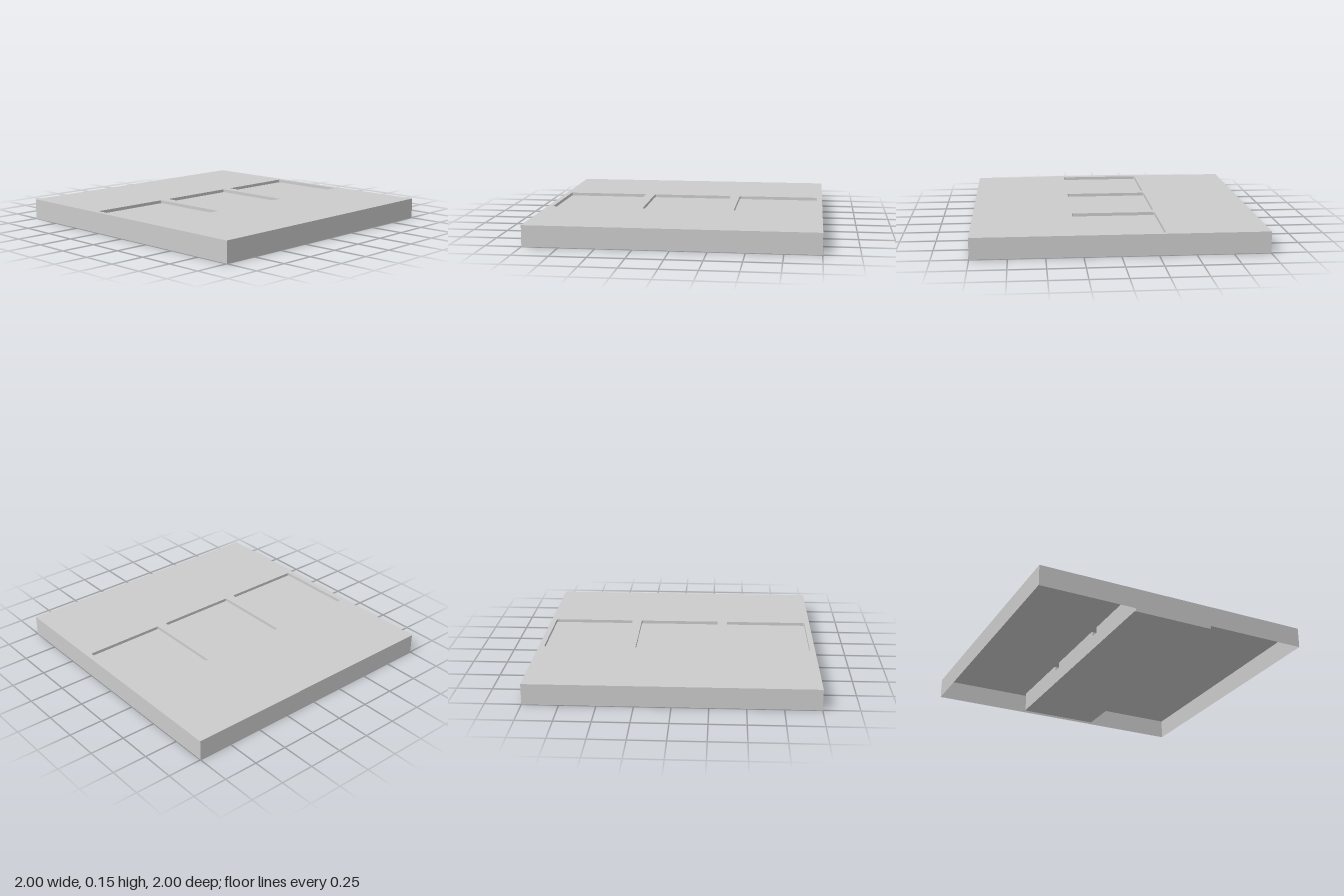
import * as THREE from 'three';

const HEIGHT = 0.147, RECESS = 0.125, BASE_TOP = 0.105;
const HALF = 0.297, RADIUS = 0.01;
const POCKETS = [-0.665, 0, 0.665];

const material = new THREE.MeshStandardMaterial({ color: 0xcccccc, side: THREE.DoubleSide, flatShading: true });

// Rounded rectangle centred on (0, cy)
function roundedRect(target, cy, hw, hh, r) {
  target.moveTo(-hw + r, cy - hh);
  target.lineTo(hw - r, cy - hh);
  target.absarc(hw - r, cy - hh + r, r, -Math.PI / 2, 0);
  target.lineTo(hw, cy + hh - r);
  target.absarc(hw - r, cy + hh - r, r, 0, Math.PI / 2);
  target.lineTo(-hw + r, cy + hh);
  target.absarc(-hw + r, cy + hh - r, r, Math.PI / 2, Math.PI);
  target.lineTo(-hw, cy - hh + r);
  target.absarc(-hw + r, cy - hh + r, r, Math.PI, Math.PI * 1.5);
  return target;
}

// Solid block with rounded plan corners, standing between two heights
function block(name, z, hw, hd, y0, y1) {
  const shape = roundedRect(new THREE.Shape(), 0, hw, hd, RADIUS);
  const geo = new THREE.ExtrudeGeometry(shape, { depth: y1 - y0, bevelEnabled: false, curveSegments: 4 });
  geo.rotateX(-Math.PI / 2).translate(0, y0, z);
  return named(geo, name);
}

// Upright band following a rounded rectangle
function band(name, z, half, y0, y1) {
  const pts = roundedRect(new THREE.Path(), 0, half, half, RADIUS).getPoints(4);
  const pos = [], idx = [];
  pts.forEach((p, i) => {
    const j = (i + 1) % pts.length;
    pos.push(p.x, y0, z + p.y, p.x, y1, z + p.y);
    idx.push(2 * i, 2 * i + 1, 2 * j, 2 * j, 2 * i + 1, 2 * j + 1);
  });
  const geo = new THREE.BufferGeometry();
  geo.setAttribute('position', new THREE.Float32BufferAttribute(pos, 3));
  geo.setIndex(idx);
  geo.computeVertexNormals();
  return named(geo, name);
}

function named(geo, name) {
  const mesh = new THREE.Mesh(geo, material);
  mesh.name = name;
  return mesh;
}

export function createModel() {
  const model = new THREE.Group();
  model.name = 'switchPlate';

  // Thin top sheet with three square openings
  const sheet = new THREE.Shape();
  sheet.moveTo(-1, -1).lineTo(1, -1).lineTo(1, 1).lineTo(-1, 1).closePath();
  for (const z of POCKETS) sheet.holes.push(roundedRect(new THREE.Path(), -z, HALF, HALF, RADIUS));
  const top = new THREE.ShapeGeometry(sheet, 4);
  top.rotateX(-Math.PI / 2).translate(0, HEIGHT, 0);
  model.add(named(top, 'topPlate'));

  // Four thin side walls, open underneath
  ['frontWall', 'leftWall', 'backWall', 'rightWall'].forEach((name, i) => {
    const geo = new THREE.PlaneGeometry(2, HEIGHT);
    geo.translate(0, HEIGHT / 2, 1).rotateY(i * Math.PI / 2);
    model.add(named(geo, name));
  });

  // Central insert: one long base carrying three recessed square pads
  model.add(block('insertBase', 0, HALF, 0.665 + HALF, 0, BASE_TOP));
  POCKETS.forEach((z, i) => {
    model.add(block('pad' + (i + 1), z, HALF, HALF, BASE_TOP, RECESS));
    model.add(band('padRim' + (i + 1), z, HALF, RECESS, HEIGHT));
  });
  return model;
}
